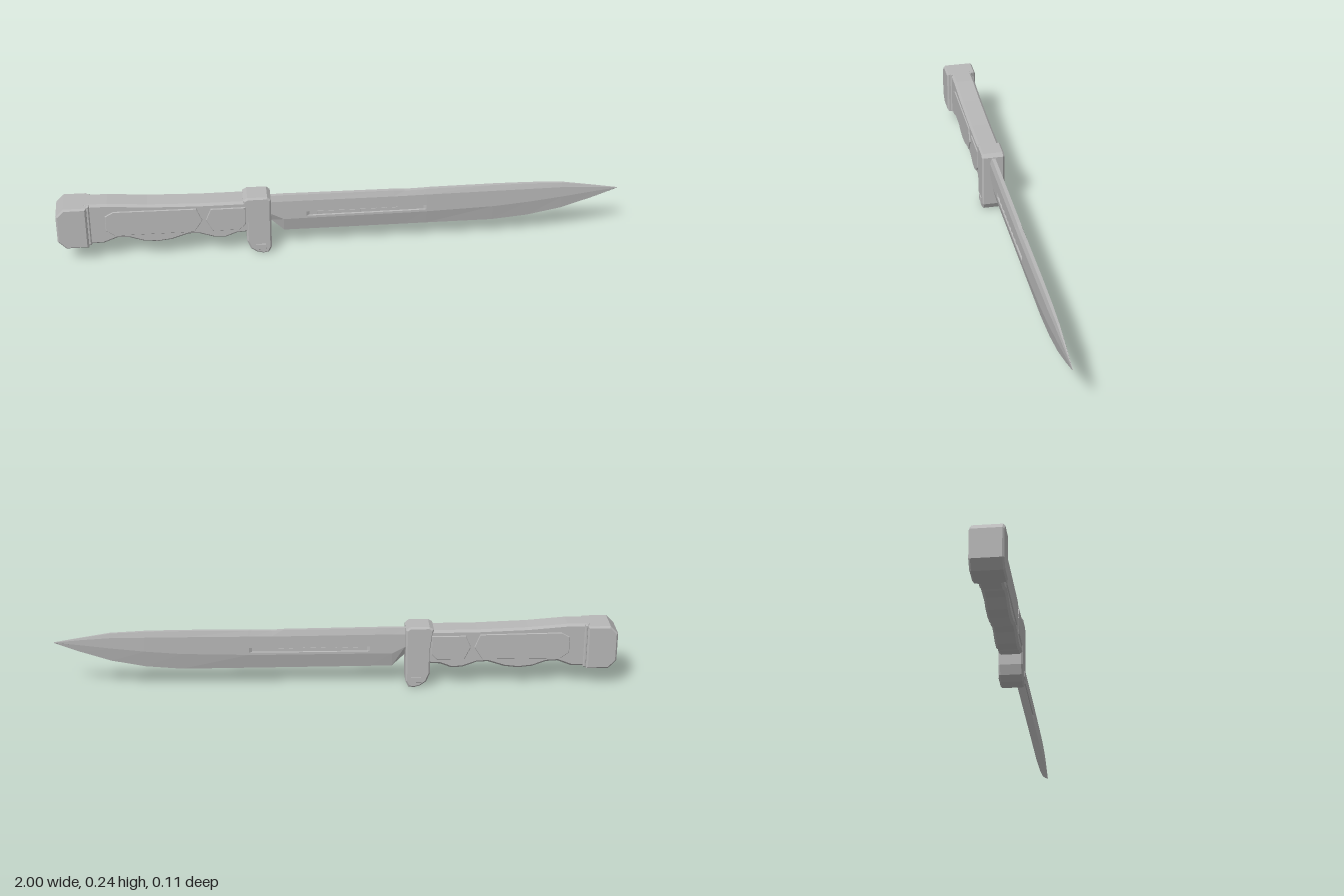
import * as THREE from 'three';

const steel = new THREE.MeshStandardMaterial({ color: 0xb8b8b8, flatShading: true });
steel.name = 'grey steel';

// Side outline extruded across z, with a single chamfer that keeps the outline size
function slab(name, pts, halfWidth, bevel, z = 0) {
  const shape = new THREE.Shape(pts.map(p => new THREE.Vector2(p[0], p[1])));
  const geo = new THREE.ExtrudeGeometry(shape, {
    depth: 2 * (halfWidth - bevel), bevelEnabled: bevel > 0, bevelSegments: 1,
    bevelSize: bevel, bevelThickness: bevel, bevelOffset: -bevel,
  });
  geo.translate(0, 0, z - halfWidth + bevel);
  const mesh = new THREE.Mesh(geo, steel);
  mesh.name = name;
  return mesh;
}

// Blade lofted along x; each station: x, edge y, bevel line y, shoulder y, spine y, half thickness, groove depth
function blade() {
  const stations = [
    [-0.27, 0.135, 0.155, 0.197, 0.219, 0.013, 0],
    [-0.245, 0.115, 0.147, 0.197, 0.219, 0.013, 0],
    [-0.2, 0.07, 0.123, 0.197, 0.22, 0.013, 0],
    [-0.12, 0.07, 0.124, 0.197, 0.219, 0.013, 0],
    [-0.11, 0.07, 0.124, 0.197, 0.219, 0.013, 0.006],
    [0.19, 0.07, 0.125, 0.196, 0.217, 0.013, 0.006],
    [0.23, 0.07, 0.125, 0.196, 0.214, 0.013, 0.006],
    [0.3, 0.07, 0.126, 0.197, 0.216, 0.013, 0.006],
    [0.31, 0.07, 0.126, 0.197, 0.217, 0.013, 0],
    [0.55, 0.07, 0.133, 0.198, 0.219, 0.012, 0],
    [0.68, 0.082, 0.144, 0.198, 0.218, 0.011, 0],
    [0.8, 0.106, 0.157, 0.197, 0.213, 0.008, 0],
    [0.91, 0.143, 0.17, 0.189, 0.196, 0.004, 0],
    [1, 0.178, 0.179, 0.18, 0.181, 0.0006, 0],
  ];
  const rings = stations.map(([x, edge, line, shoulder, spine, t, d]) => {
    const lo = line + 0.12 * (shoulder - line), hi = line + 0.38 * (shoulder - line);
    const side = [[line, t], [lo, t], [lo + 0.001, t - d], [hi - 0.001, t - d], [hi, t], [shoulder, t], [spine, 0.5 * t]];
    return [[edge, 0], ...side, ...side.map(([y, z]) => [y, -z]).reverse()].map(([y, z]) => [x, y, z]);
  });
  const n = rings[0].length, pos = [];
  for (let i = 0; i < rings.length - 1; i++) {
    for (let j = 0; j < n; j++) {
      const k = (j + 1) % n;
      const a = rings[i][j], b = rings[i + 1][j], c = rings[i + 1][k], e = rings[i][k];
      pos.push(...a, ...b, ...c, ...a, ...c, ...e);
    }
  }
  // Butt end of the blade
  for (let j = 1; j < n - 1; j++) pos.push(...rings[0][0], ...rings[0][j], ...rings[0][j + 1]);
  const geo = new THREE.BufferGeometry();
  geo.setAttribute('position', new THREE.Float32BufferAttribute(pos, 3));
  geo.computeVertexNormals();
  const mesh = new THREE.Mesh(geo, steel);
  mesh.name = 'blade';
  return mesh;
}

export function createModel() {
  const knife = new THREE.Group();
  knife.name = 'knife';
  knife.add(blade());

  // Grip with finger grooves along its underside
  knife.add(slab('grip', [
    [-0.9, 0.075], [-0.84, 0.075], [-0.79, 0.095], [-0.75, 0.093], [-0.7, 0.075], [-0.65, 0.07],
    [-0.6, 0.076], [-0.54, 0.096], [-0.5, 0.094], [-0.45, 0.076], [-0.41, 0.074], [-0.37, 0.09],
    [-0.3, 0.095], [-0.3, 0.22], [-0.5, 0.22], [-0.68, 0.226], [-0.82, 0.237], [-0.9, 0.237],
  ], 0.04, 0.008));

  // Pommel with its chamfered rear corners
  knife.add(slab('pommel', [
    [-0.972, 0.07], [-0.892, 0.07], [-0.892, 0.233], [-0.972, 0.233], [-1, 0.205], [-1, 0.1],
  ], 0.056, 0.006));
  knife.add(slab('pommelCollar', [
    [-0.895, 0.073], [-0.882, 0.073], [-0.882, 0.236], [-0.895, 0.236],
  ], 0.044, 0.004));

  // Crossguard with a hooked lower arm
  knife.add(slab('guard', [
    [-0.345, 0.215], [-0.335, 0.135], [-0.335, 0.055], [-0.322, 0.022], [-0.3, 0.006], [-0.278, 0],
    [-0.258, 0.003], [-0.247, 0.025], [-0.247, 0.222], [-0.26, 0.234], [-0.33, 0.234], [-0.345, 0.225],
  ], 0.042, 0.006));

  for (const s of [-1, 1]) {
    const panels = new THREE.Group();
    panels.name = s > 0 ? 'frontDetails' : 'backDetails';
    // Raised grip plates
    panels.add(slab('longGripPlate', [
      [-0.83, 0.13], [-0.8, 0.108], [-0.52, 0.108], [-0.49, 0.155], [-0.51, 0.204], [-0.8, 0.207], [-0.83, 0.19],
    ], 0.004, 0.002, s * 0.04));
    panels.add(slab('shortGripPlate', [
      [-0.478, 0.155], [-0.455, 0.108], [-0.36, 0.108], [-0.338, 0.13], [-0.338, 0.2], [-0.46, 0.2],
    ], 0.004, 0.002, s * 0.04));
    // Small stud on the lower guard arm
    panels.add(slab('guardStud', [
      [-0.305, 0.02], [-0.268, 0.02], [-0.268, 0.042], [-0.305, 0.042],
    ], 0.004, 0.001, s * 0.041));
    // Ribs inside the blade groove
    for (let i = 0; i < 8; i++) {
      const x = -0.08 + i * 0.038;
      panels.add(slab('grooveRib', [
        [x, 0.136], [x + 0.02, 0.136], [x + 0.02, 0.148], [x, 0.148],
      ], 0.002, 0, s * 0.008));
    }
    knife.add(panels);
  }
  return knife;
}
